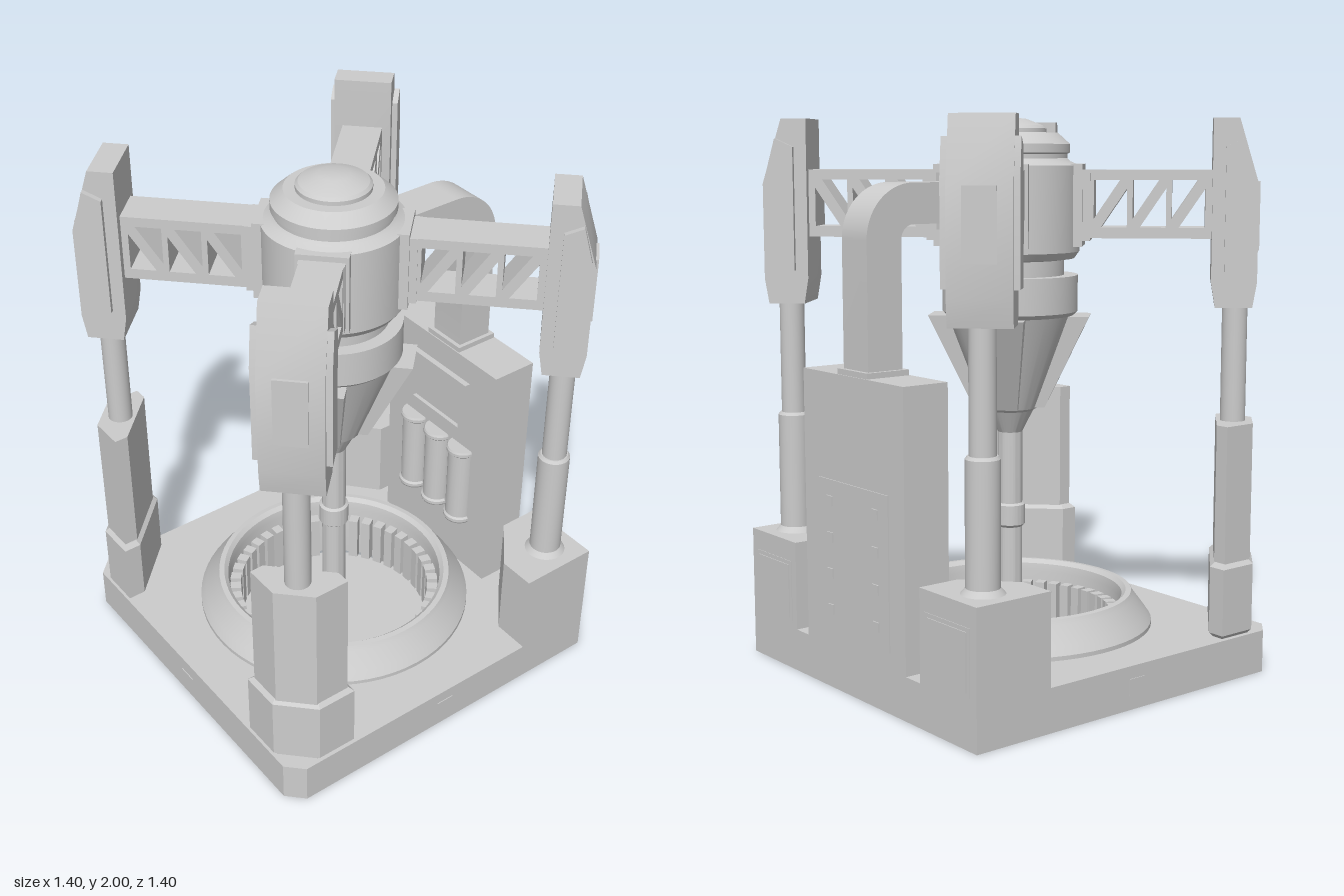
import * as THREE from 'three';
import { toCreasedNormals } from 'three/addons/utils/BufferGeometryUtils.js';

const grey = new THREE.MeshStandardMaterial({ color: 0xcccccc });
grey.name = 'plain grey';

function add(parent, name, geometry, x = 0, y = 0, z = 0) {
  const mesh = new THREE.Mesh(geometry, grey);
  mesh.name = name;
  mesh.position.set(x, y, z);
  parent.add(mesh);
  return mesh;
}
const box = (w, h, d) => new THREE.BoxGeometry(w, h, d);
const tube = (r, y0, y1) => new THREE.CylinderGeometry(r, r, y1 - y0, 32).translate(0, (y0 + y1) / 2, 0);
const points = (list) => list.map(([a, b]) => new THREE.Vector2(a, b));
const lathe = (list, sides = 64) => toCreasedNormals(new THREE.LatheGeometry(points(list), sides), 0.4);

// Plan outline (x, z) raised from y0 to y1, with an optional chamfer
function raise(outline, y0, y1, bevel = 0, hole = 0) {
  const shape = new THREE.Shape(points(outline.map(([x, z]) => [x, -z])));
  if (hole) shape.holes.push(new THREE.Path().absarc(0, 0, hole, 0, Math.PI * 2, true));
  const g = new THREE.ExtrudeGeometry(shape, {
    depth: y1 - y0 - 2 * bevel, curveSegments: 32, bevelEnabled: bevel > 0,
    bevelThickness: bevel, bevelSize: bevel, bevelOffset: -bevel, bevelSegments: 1,
  });
  return toCreasedNormals(g.rotateX(-Math.PI / 2).translate(0, y0 + bevel, 0), 0.4);
}

// Side outline (along, y) given thickness across local z
function slab(shape, width) {
  const g = new THREE.ExtrudeGeometry(shape, { depth: width, bevelEnabled: false, curveSegments: 12 });
  return toCreasedNormals(g.translate(0, 0, -width / 2), 0.4);
}

// Box whose lower end is moved and scaled to follow a cone
function conePlate(rTop, wTop, rBottom, wBottom, y0, y1, thick) {
  const g = box(1, 1, 1);
  const p = g.attributes.position;
  for (let i = 0; i < p.count; i++) {
    const top = p.getY(i) > 0;
    p.setXYZ(i, (top ? rTop : rBottom) - (p.getX(i) > 0 ? 0 : thick), top ? y1 : y0, p.getZ(i) * (top ? wTop : wBottom));
  }
  g.computeVertexNormals();
  return g;
}

function trussShape() {
  const shape = new THREE.Shape(points([[0.24, 1.58], [0.76, 1.58], [0.76, 1.82], [0.24, 1.82]]));
  const lo = 1.618, hi = 1.785, bay = 0.137;
  for (let i = 0; i < 3; i++) {
    const a = 0.305 + i * bay, b = a + bay - 0.02;
    shape.holes.push(new THREE.Path(points([[a, lo + 0.03], [b - 0.025, hi], [a, hi]])));
    shape.holes.push(new THREE.Path(points([[a + 0.025, lo], [b, lo], [b, hi - 0.03]])));
  }
  return shape;
}

function buildBase(root) {
  const base = new THREE.Group();
  base.name = 'base';
  root.add(base);
  const outline = [[-0.69, -0.69], [0.69, -0.69], [0.69, 0.63], [0.63, 0.69], [-0.63, 0.69], [-0.69, 0.63]];
  add(base, 'basePlate', raise(outline, 0, 0.155, 0, 0.41));
  add(base, 'pitFloor', tube(0.385, 0, 0.012));
  add(base, 'pitRim', lathe([[0.525, 0.15], [0.525, 0.17], [0.505, 0.2], [0.46, 0.26], [0.45, 0.278], [0.43, 0.28],
    [0.415, 0.265], [0.41, 0.235], [0.41, 0]]));
  // Ring of slanted teeth in the pit
  const count = 44;
  for (let i = 0; i < count; i++) {
    const a = (i / count) * Math.PI * 2;
    const tooth = add(base, 'pitTooth', conePlate(0.418, 0.036, 0.418, 0.036, 0, 0.2, 0.05),);
    tooth.rotation.y = a;
    tooth.rotateX(0.0);
  }
  // Small edge plates
  add(base, 'edgePlate', box(0.075, 0.04, 0.006), 0, 0.08, 0.69);
  for (const s of [-1, 1]) add(base, 'edgePlate', box(0.006, 0.06, 0.07), s * 0.69, 0.08, 0);
}

function buildDrill(root) {
  const drill = new THREE.Group();
  drill.name = 'drill';
  root.add(drill);
  add(drill, 'drillBody', lathe([[0, 2], [0.055, 2], [0.12, 1.975], [0.13, 1.965], [0.13, 1.95], [0.17, 1.95],
    [0.182, 1.94], [0.215, 1.91], [0.215, 1.88], [0.205, 1.875], [0.205, 1.86], [0.215, 1.85], [0.25, 1.835],
    [0.25, 1.53], [0.232, 1.505], [0.195, 1.5], [0.195, 1.445], [0.245, 1.445], [0.245, 1.315], [0.23, 1.3],
    [0.1, 0.96], [0.085, 0.95], [0.05, 0.88], [0.045, 0.87], [0.045, 0.605], [0.055, 0.598], [0.055, 0.525],
    [0.045, 0.515], [0.045, 0.06], [0, 0.012]]));
}

function buildCorner(root, sx, sz) {
  const corner = new THREE.Group();
  corner.name = sz > 0 ? 'frontSupport' : 'backSupport';
  corner.rotation.y = Math.atan2(-sz, sx);
  root.add(corner);
  // Truss arm with its bracket and the armour plate of the cone below
  add(corner, 'trussArm', slab(trussShape(), 0.148));
  add(corner, 'armBracket', box(0.08, 0.29, 0.18), 0.225, 1.695, 0);
  add(corner, 'armBracketCollar', box(0.03, 0.25, 0.155), 0.277, 1.695, 0);
  add(corner, 'conePlate', conePlate(0.29, 0.155, 0.13, 0.08, 0.965, 1.3, 0.075));
  // Piston head
  const head = new THREE.Shape(points([[0.735, 1.34], [0.865, 1.34], [0.88, 1.43], [0.88, 1.77], [0.81, 2], [0.72, 2], [0.72, 1.43]]));
  add(corner, 'pistonHead', slab(head, 0.21));
  const band = new THREE.Shape(points([[0.765, 1.46], [0.865, 1.46], [0.865, 1.8], [0.83, 1.93], [0.765, 1.9]]));
  add(corner, 'headSidePlates', slab(band, 0.25));
  add(corner, 'headOuterPlate', box(0.01, 0.24, 0.11), 0.882, 1.66, 0);
  add(corner, 'pistonRod', tube(0.045, 0.45, 1.36), 0.808);

  if (sz > 0) {
    // Front legs: six-sided column on a wider foot
    const plan = (o, i) => [[o, i], [o, 0.57], [0.57, o], [i, o], [i, 0.62], [0.62, i]].map(([x, z]) => [x * sx, z]);
    add(root, 'frontLeg', raise(plan(0.672, 0.44), 0.155, 0.925));
    add(root, 'frontFoot', raise(plan(0.687, 0.42), 0.155, 0.43, 0.016));
  } else {
    // Rear blocks with a sleeve and a back panel
    add(corner, 'pistonSleeve', lathe([[0, 0.93], [0.05, 0.93], [0.058, 0.92], [0.058, 0.5], [0.075, 0.48]], 32), 0.808);
    const plan = [[0.69, -0.69], [0.69, -0.385], [0.55, -0.385], [0.385, -0.53], [0.385, -0.69]].map(([x, z]) => [x * sx, z]);
    add(root, 'backBlock', raise(plan, 0.155, 0.48));
    add(root, 'backBlockFrame', box(0.24, 0.23, 0.006), sx * 0.535, 0.29, -0.689);
    add(root, 'backBlockPanel', box(0.21, 0.2, 0.006), sx * 0.535, 0.29, -0.692);
  }
}

function buildCabinet(root) {
  const cabinet = new THREE.Group();
  cabinet.name = 'cabinet';
  root.add(cabinet);
  add(cabinet, 'cabinetBody', box(0.61, 0.975, 0.18), 0, 0.6425, -0.6);
  // Framed screen
  add(cabinet, 'screen', box(0.28, 0.18, 0.01), 0, 0.91, -0.508);
  for (const s of [-1, 1]) {
    add(cabinet, 'screenFrameSide', box(0.03, 0.24, 0.025), s * 0.15, 0.91, -0.5);
    add(cabinet, 'screenFrameBar', box(0.33, 0.03, 0.025), 0, 0.91 + s * 0.105, -0.5);
  }
  // Three canisters
  for (const x of [-0.14, 0, 0.14]) {
    add(cabinet, 'canister', lathe([[0, 0.73], [0.058, 0.73], [0.062, 0.722], [0.062, 0.71], [0.055, 0.703],
      [0.055, 0.407], [0.062, 0.4], [0.062, 0.388], [0.058, 0.38], [0, 0.38]], 24), x, 0, -0.515);
  }
  // Bolted service panel on the back
  add(cabinet, 'servicePanel', box(0.43, 0.54, 0.006), 0, 0.485, -0.691);
  for (const x of [-0.14, 0.14]) {
    for (let i = 0; i < 4; i++) add(cabinet, 'panelBolt', box(0.035, 0.035, 0.008), x, 0.29 + i * 0.13, -0.695);
  }
  // Square duct bending from the cabinet into the drill body
  const duct = new THREE.Shape();
  duct.moveTo(-0.67, 1.12);
  duct.lineTo(-0.53, 1.12);
  duct.lineTo(-0.53, 1.59);
  duct.absarc(-0.48, 1.59, 0.05, Math.PI, Math.PI / 2, true);
  duct.lineTo(-0.2, 1.64);
  duct.lineTo(-0.2, 1.78);
  duct.lineTo(-0.48, 1.78);
  duct.absarc(-0.48, 1.59, 0.19, Math.PI / 2, Math.PI, false);
  add(cabinet, 'duct', slab(duct, 0.15)).rotation.y = -Math.PI / 2;
  add(cabinet, 'ductCollar', box(0.18, 0.02, 0.172), 0, 1.14, -0.6);
  add(cabinet, 'ductFlange', box(0.18, 0.2, 0.06), 0, 1.71, -0.233);
}

export function createModel() {
  const root = new THREE.Group();
  root.name = 'drillRig';
  buildBase(root);
  buildDrill(root);
  for (const sx of [-1, 1]) for (const sz of [-1, 1]) buildCorner(root, sx, sz);
  buildCabinet(root);
  // Lathe profiles listed from top to bottom need their faces turned outward
  const done = new Set();
  root.traverse((o) => {
    if (!o.isMesh || done.has(o.geometry) || !['drillBody', 'canister', 'pistonSleeve'].includes(o.name)) return;
    done.add(o.geometry);
    const g = o.geometry;
    for (const key of ['position', 'normal', 'uv']) {
      const a = g.attributes[key], n = a.itemSize;
      for (let i = 0; i < a.count; i += 3) {
        for (let k = 0; k < n; k++) {
          const t = a.array[(i + 1) * n + k];
          a.array[(i + 1) * n + k] = a.array[(i + 2) * n + k];
          a.array[(i + 2) * n + k] = t;
        }
      }
    }
    const nm = g.attributes.normal;
    for (let i = 0; i < nm.array.length; i++) nm.array[i] *= -1;
  });
  return root;
}
